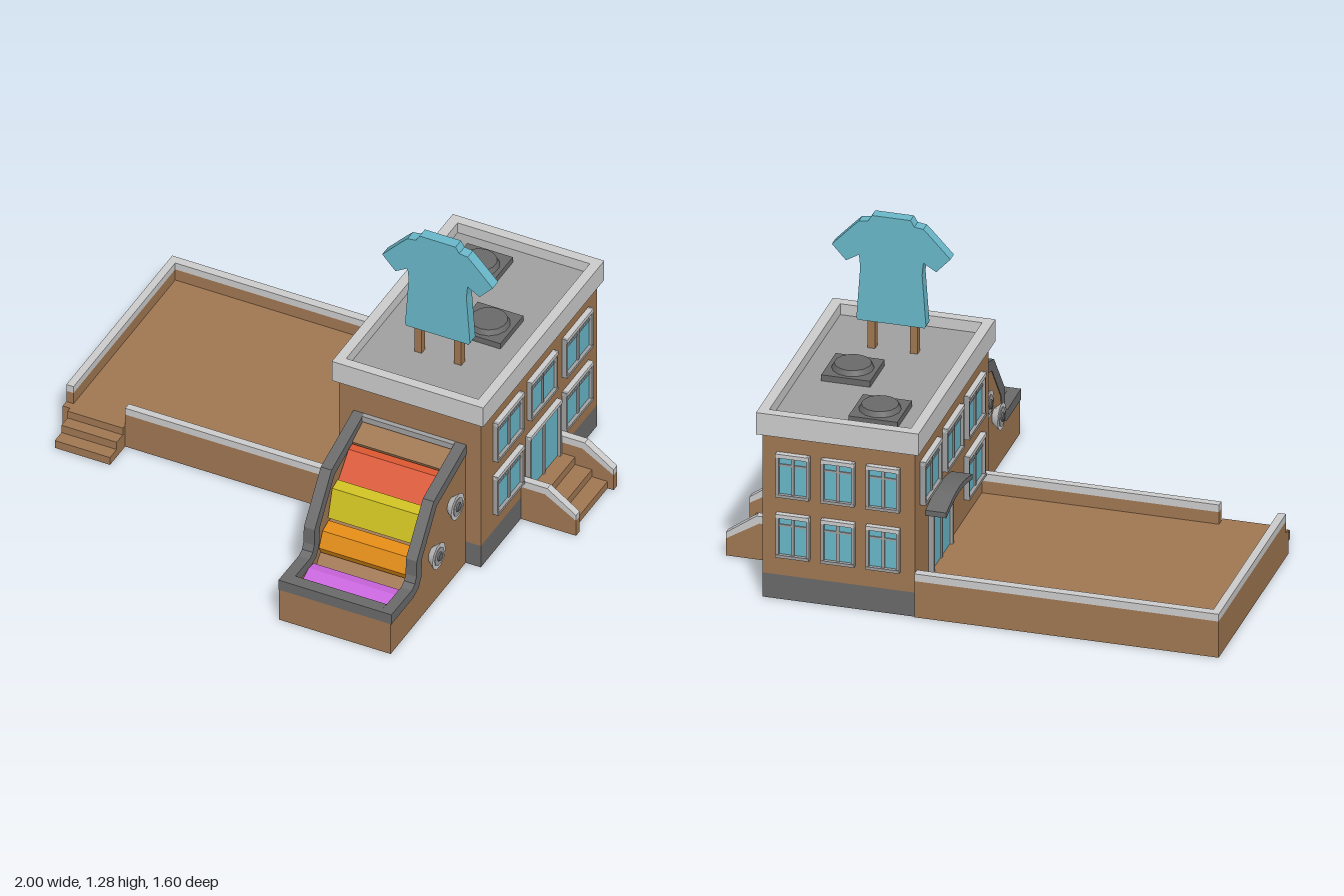
import * as THREE from 'three';

const mat = (name, color) => {
  const m = new THREE.MeshStandardMaterial({ color });
  m.name = name;
  return m;
};

export function createModel() {
  const brown = mat('brown wall', 0xa07752);
  const dark = mat('dark grey', 0x6a6a6a);
  const light = mat('light grey', 0xcccccc);
  const grey = mat('roof grey', 0xa0a0a0);
  const blue = mat('blue', 0x6ab8ca);
  const red = mat('red cloth', 0xd8552f);
  const yellow = mat('yellow cloth', 0xcdbf22);
  const orange = mat('orange cloth', 0xe08a14);
  const purple = mat('purple cloth', 0xc865dc);

  const root = new THREE.Group();
  const add = (name, geo, material, parent = root) => {
    const m = new THREE.Mesh(geo, material);
    m.name = name;
    parent.add(m);
    return m;
  };
  // Box given by its limits on each axis
  const box = (name, material, x0, x1, y0, y1, z0, z1, parent = root) => {
    const m = add(name, new THREE.BoxGeometry(x1 - x0, y1 - y0, z1 - z0), material, parent);
    m.position.set((x0 + x1) / 2, (y0 + y1) / 2, (z0 + z1) / 2);
    return m;
  };
  const extrude = (pts, depth) => new THREE.ExtrudeGeometry(
    new THREE.Shape(pts.map(p => new THREE.Vector2(...p))), { depth, bevelEnabled: false });
  // Side profile of (z, y) points, extruded from x0 to x1
  const sideProfile = (name, material, pts, x0, x1) => {
    const g = extrude(pts, x1 - x0);
    g.rotateY(-Math.PI / 2);
    g.translate(x1, 0, 0);
    return add(name, g, material);
  };

  // Main building
  box('building', brown, 0.18, 0.77, 0.1, 0.7, -0.78, 0.18);
  box('buildingBase', dark, 0.18, 0.77, 0, 0.1, -0.78, 0.18);
  box('roof', grey, 0.19, 0.76, 0.7, 0.725, -0.77, 0.17);
  box('parapetFront', light, 0.16, 0.79, 0.68, 0.77, 0.16, 0.2);
  box('parapetBack', light, 0.16, 0.79, 0.68, 0.77, -0.8, -0.76);
  box('parapetLeft', light, 0.75, 0.79, 0.68, 0.77, -0.76, 0.16);
  box('parapetRight', light, 0.16, 0.2, 0.68, 0.77, -0.76, 0.16);

  // Roof fans
  for (const [x, z] of [[0.37, -0.595], [0.565, -0.295]]) {
    box('fanBox', dark, x - 0.095, x + 0.095, 0.72, 0.75, z - 0.095, z + 0.095);
    const fan = add('fan', new THREE.CylinderGeometry(0.07, 0.08, 0.02, 14), dark);
    fan.position.set(x, 0.76, z);
  }

  // Shirt sign: half outline mirrored about its centre line
  const half = [[0.075, 1.28], [0.09, 1.255], [0.125, 1.25], [0.15, 1.225], [0.23, 1.14],
    [0.175, 1.08], [0.125, 1.11], [0.12, 1.06], [0.135, 0.85], [0.13, 0.84]];
  const outline = [...half.map(([x, y]) => [0.48 + x, y]),
    ...half.slice().reverse().map(([x, y]) => [0.48 - x, y])];
  add('shirtSign', extrude(outline, 0.045), blue).position.z = -0.083;
  for (const x of [0.395, 0.56]) box('signPost', brown, x - 0.015, x + 0.015, 0.72, 0.85, -0.075, -0.045);

  // Window or door facing local +z: frame bars, header and two panes
  const opening = (name, w, h, isDoor) => {
    const g = new THREE.Group();
    g.name = name;
    const t = 0.012, d = 0.02, x = w / 2, y = h / 2;
    box('glass', blue, -x + t, x - t, -y, y - t, 0, 0.008, g);
    for (const s of [-1, 1]) box('frameSide', grey, s * (x - t / 2) - t / 2, s * (x - t / 2) + t / 2, -y, y, 0, d, g);
    box('mullion', grey, -t / 2, t / 2, -y, y - t, 0, d - 0.006, g);
    box('header', light, -x, x, y - 0.016, y, 0, d + 0.002, g);
    if (!isDoor) {
      box('sill', grey, -x, x, -y, -y + t, 0, d + 0.002, g);
      box('transom', grey, -x + t, x - t, y - 0.052, y - 0.044, 0, d - 0.008, g);
    }
    root.add(g);
    return g;
  };
  const place = (o, x, y, z, turn) => {
    o.position.set(x, y, z);
    o.rotation.y = turn;
  };
  const Q = Math.PI / 2;
  for (const z of [-0.03, -0.31, -0.6]) {
    place(opening('leftWindow', 0.22, 0.18), 0.77, 0.52, z, Q);
    place(opening('rightWindow', 0.22, 0.18), 0.18, 0.52, z, -Q);
  }
  for (const z of [-0.03, -0.6]) place(opening('leftWindow', 0.22, 0.18), 0.77, 0.27, z, Q);
  place(opening('rightWindow', 0.22, 0.18), 0.18, 0.27, -0.03, -Q);
  for (const x of [0.3, 0.475, 0.65])
    for (const y of [0.27, 0.52]) place(opening('backWindow', 0.13, 0.18), x, y, -0.78, Math.PI);
  place(opening('leftDoor', 0.26, 0.26, true), 0.77, 0.23, -0.32, Q);
  place(opening('rightDoor', 0.26, 0.26, true), 0.18, 0.23, -0.47, -Q);

  // Arched awning over the patio door
  const arch = [];
  for (let i = 0; i <= 8; i++) arch.push([-0.64 + 0.0425 * i, 0.375 + 0.028 * Math.sin(Math.PI * i / 8)]);
  sideProfile('awning', dark, [...arch, ...arch.slice().reverse().map(([z, y]) => [z, y - 0.022])], 0.1, 0.18);

  // Side entrance steps with sloping cheeks
  [[0.1, 0.84], [0.065, 0.91], [0.032, 0.975]].forEach(([y, x]) =>
    box('entranceStep', brown, 0.77, x, 0, y, -0.46, -0.18));
  for (const z of [-0.18, -0.49]) {
    add('stepCheek', extrude([[0.77, 0], [1, 0], [1, 0.07], [0.87, 0.15], [0.77, 0.15]], 0.03), brown).position.z = z;
    add('stepRail', extrude([[0.77, 0.15], [0.87, 0.15], [1, 0.07], [1, 0.095], [0.88, 0.18], [0.77, 0.18]], 0.03), light).position.z = z;
  }

  // Patio with low capped walls and corner steps
  box('patioFloor', brown, -0.98, 0.18, 0.07, 0.1, -0.77, 0.11);
  const patioWall = (x0, x1, z0, z1) => {
    box('patioWall', brown, x0, x1, 0, 0.15, z0, z1);
    box('patioCap', light, x0, x1, 0.15, 0.18, z0, z1);
  };
  patioWall(-1, -0.97, -0.785, 0.09);
  patioWall(-0.97, 0.18, -0.785, -0.75);
  patioWall(-0.74, 0.18, 0.09, 0.12);
  box('patioCorner', brown, -1, -0.97, 0, 0.1, 0.09, 0.12);
  [[0.1, 0.14], [0.068, 0.19], [0.034, 0.245]].forEach(([y, z]) =>
    box('patioStep', brown, -0.97, -0.74, 0, y, 0.09, z));

  // Display slope: side walls, dark caps and round vents
  const outer = [[0.8, 0.185], [0.63, 0.182], [0.605, 0.195], [0.593, 0.22], [0.59, 0.29], [0.45, 0.475], [0.18, 0.555]];
  const inner = [[0.8, 0.14], [0.62, 0.14], [0.575, 0.155], [0.553, 0.19], [0.545, 0.275], [0.425, 0.437], [0.18, 0.51]];
  for (const x of [0.24, 0.665]) {
    sideProfile('slopeWall', brown, [[0.18, 0], [0.8, 0], ...inner], x + 0.003, x + 0.042);
    sideProfile('slopeCap', dark, [...outer, ...inner.slice().reverse()], x, x + 0.045);
  }
  box('slopeFrontWall', brown, 0.28, 0.67, 0, 0.14, 0.75, 0.8);
  box('slopeFrontCap', dark, 0.285, 0.665, 0.14, 0.185, 0.75, 0.8);
  sideProfile('slopeFloor', brown, [[0.18, 0.06], [0.75, 0.06], [0.75, 0.1], [0.57, 0.11],
    [0.49, 0.2], [0.41, 0.32], [0.28, 0.42], [0.18, 0.44]], 0.28, 0.67);
  sideProfile('topShelf', brown, [[0.18, 0.49], [0.27, 0.465], [0.28, 0.49], [0.18, 0.53]], 0.285, 0.665);
  box('topLintel', grey, 0.285, 0.665, 0.53, 0.555, 0.18, 0.2);

  for (const [z, y] of [[0.46, 0.235], [0.305, 0.36]])
    for (const s of [-1, 1]) {
      const vent = new THREE.Group();
      vent.name = 'roundVent';
      add('ventFlange', new THREE.CylinderGeometry(0.055, 0.03, 0.03, 10), light, vent).position.y = 0.015;
      add('ventRing', new THREE.CylinderGeometry(0.038, 0.038, 0.004, 10), grey, vent).position.y = 0.031;
      add('ventHub', new THREE.CylinderGeometry(0.016, 0.022, 0.008, 8), dark, vent).position.y = 0.034;
      vent.rotation.z = -s * Q;
      vent.position.set(0.475 + s * 0.232, y, z);
      root.add(vent);
    }

  // Cloth rolls stepping down the slope
  const rolls = [
    ['redCloth', red, [[0.28, 0.4], [0.39, 0.36], [0.405, 0.4], [0.32, 0.485], [0.29, 0.49]]],
    ['yellowCloth', yellow, [[0.4, 0.31], [0.47, 0.265], [0.49, 0.28], [0.455, 0.395], [0.41, 0.405]]],
    ['orangeCloth', orange, [[0.48, 0.19], [0.55, 0.16], [0.565, 0.19], [0.535, 0.25], [0.485, 0.265]]],
    ['purpleCloth', purple, [[0.6, 0.09], [0.72, 0.09], [0.72, 0.125], [0.65, 0.155], [0.61, 0.15]]],
  ];
  for (const [name, m, pts] of rolls) sideProfile(name, m, pts, 0.29, 0.655);

  return root;
}
